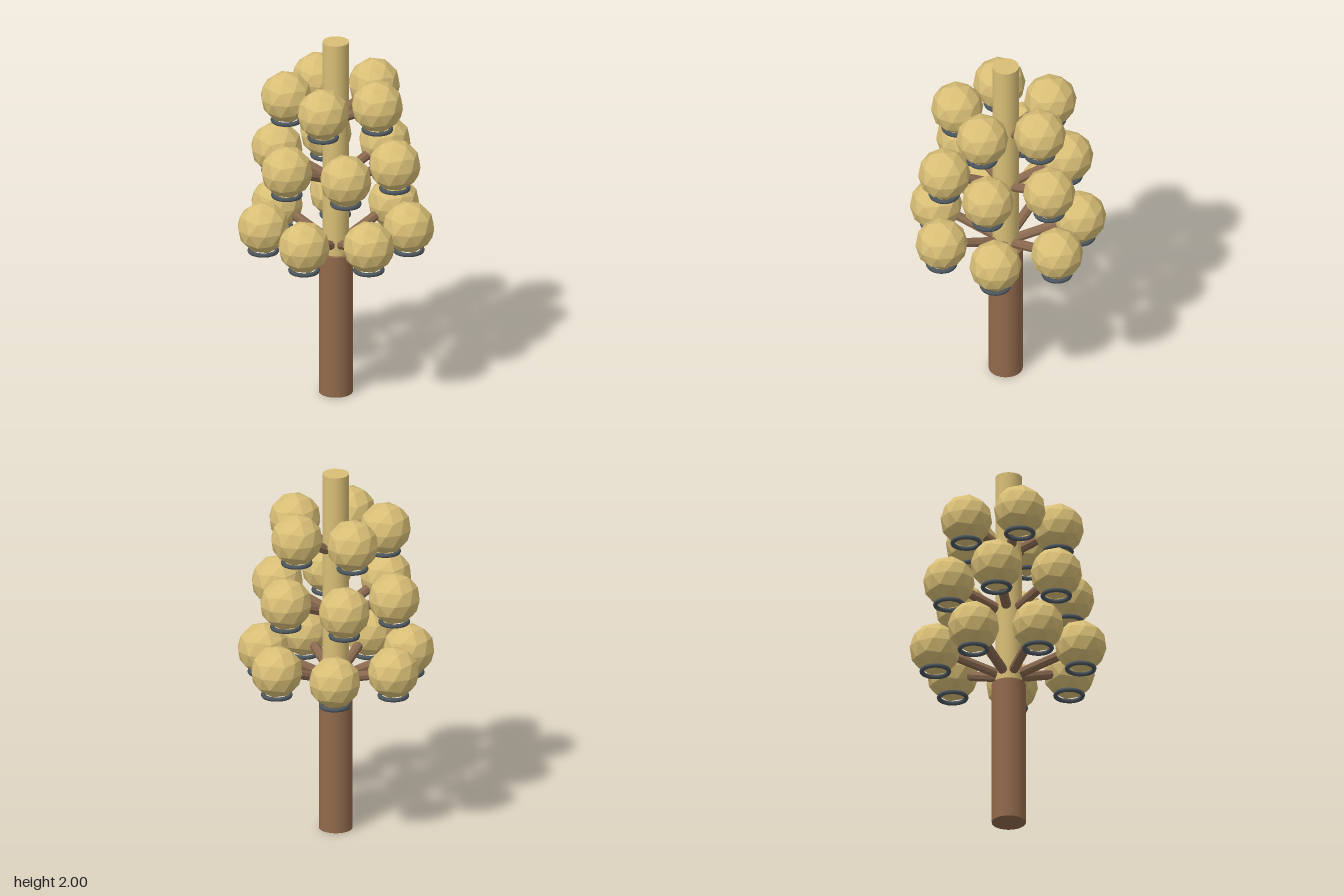
import * as THREE from 'three';

const mat = (color, flatShading = false) => new THREE.MeshStandardMaterial({ color, flatShading });
const bark = mat(0x916a4c);
const twig = mat(0x8a6a50, true);
const straw = mat(0xd8be76);
const strawFlat = mat(0xd8be76, true);
const metal = mat(0x4c565e);

function add(parent, name, geometry, material, y = 0) {
  const mesh = new THREE.Mesh(geometry, material);
  mesh.name = name;
  mesh.position.y = y;
  parent.add(mesh);
  return mesh;
}

export function createModel() {
  const model = new THREE.Group();
  model.name = 'tieredTree';

  // Central post: thick lower trunk, slimmer upper pole
  const tree = new THREE.Group();
  tree.name = 'tree';
  tree.position.x = -0.022;
  model.add(tree);
  add(tree, 'lowerTrunk', new THREE.CylinderGeometry(0.09, 0.09, 0.8, 24), bark, 0.4);
  add(tree, 'upperPole', new THREE.CylinderGeometry(0.07, 0.07, 1.2, 24), straw, 1.4);

  // Faceted ball with a corner at each pole, and the ring below it
  const ball = new THREE.IcosahedronGeometry(0.139, 1);
  ball.rotateZ(-Math.atan(2 / (1 + Math.sqrt(5))));
  const ring = new THREE.TorusGeometry(0.072, 0.012, 8, 24);
  ring.rotateX(Math.PI / 2);

  // Tiers: number of branches, reach, ball centre height
  const tiers = [
    { count: 7, reach: 0.392, y: 0.975 },
    { count: 6, reach: 0.332, y: 1.344 },
    { count: 5, reach: 0.26, y: 1.69 },
  ];
  const rise = 0.137;
  const up = new THREE.Vector3(0, 1, 0);

  tiers.forEach(({ count, reach, y }, t) => {
    const tier = new THREE.Group();
    tier.name = `tier${t + 1}`;
    tree.add(tier);
    const dir = new THREE.Vector3(reach, rise, 0);
    const branchGeo = new THREE.CylinderGeometry(0.026, 0.026, dir.length(), 8);

    for (let i = 0; i < count; i++) {
      const a = (i / count) * Math.PI * 2;
      const x = Math.cos(a) * reach;
      const z = Math.sin(a) * reach;

      // Branch from the pole axis up to the ball centre
      const branch = add(tier, 'branch', branchGeo, twig);
      branch.position.set(x / 2, y - rise / 2, z / 2);
      branch.quaternion.setFromUnitVectors(up, new THREE.Vector3(x, rise, z).normalize());

      add(tier, 'ball', ball, strawFlat).position.set(x, y, z);
      add(tier, 'ring', ring, metal).position.set(x, y - 0.13, z);
    }
  });

  return model;
}
